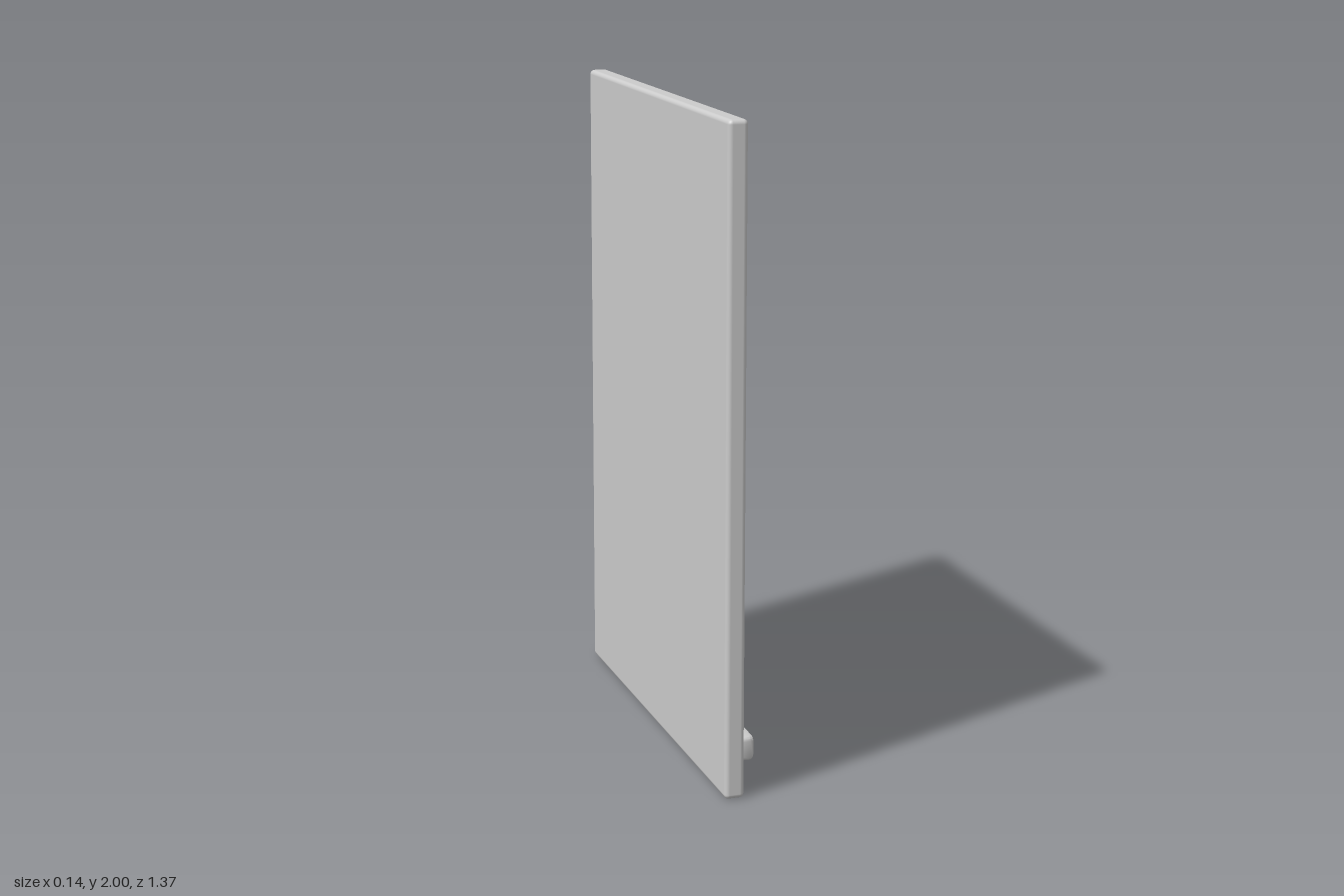
import * as THREE from 'three';
import { RoundedBoxGeometry } from 'three/addons/geometries/RoundedBoxGeometry.js';
import { toCreasedNormals } from 'three/addons/utils/BufferGeometryUtils.js';

const material = new THREE.MeshStandardMaterial({ color: 0xcccccc });
const HANDLE_Y = 0.098;

// Solid lofted along x through rounded rectangles: [x, half depth, half height, corner radius]
function loft(sections) {
  const corner = 4, count = corner * 4;
  const positions = [], index = [];
  for (const [x, hz, hy, r] of sections) {
    for (let q = 0; q < 4; q++) {
      const sz = q === 0 || q === 3 ? -1 : 1;
      const sy = q < 2 ? 1 : -1;
      for (let i = 0; i < corner; i++) {
        const a = (q + i / (corner - 1)) * Math.PI / 2;
        positions.push(x, sy * (hy - r) + r * Math.sin(a), sz * (hz - r) - r * Math.cos(a));
      }
    }
  }
  for (let s = 0; s < sections.length - 1; s++) {
    for (let k = 0; k < count; k++) {
      const a = s * count + k, b = s * count + (k + 1) % count;
      index.push(a, b, b + count, a, b + count, a + count);
    }
  }
  const last = (sections.length - 1) * count;
  for (let k = 1; k < count - 1; k++) {
    index.push(last, last + k, last + k + 1, 0, k + 1, k);
  }
  const geometry = new THREE.BufferGeometry();
  geometry.setAttribute('position', new THREE.Float32BufferAttribute(positions, 3));
  geometry.setIndex(index);
  return toCreasedNormals(geometry, 0.6);
}

function addPart(parent, name, geometry, x, y, z) {
  const mesh = new THREE.Mesh(geometry, material);
  mesh.name = name;
  mesh.position.set(x, y, z);
  parent.add(mesh);
}

export function createModel() {
  const model = new THREE.Group();
  model.name = 'cabinetDoor';

  // Flat door panel with softened edges
  addPart(model, 'panel', new RoundedBoxGeometry(0.06, 2, 1.37, 3, 0.014), -0.04, 1, 0);

  const handle = new THREE.Group();
  handle.name = 'handle';
  model.add(handle);

  // Grip bar, rounded over on its outer face
  addPart(handle, 'grip', loft([
    [0.002, 0.207, 0.035, 0.012],
    [0.03, 0.206, 0.037, 0.013],
    [0.054, 0.204, 0.039, 0.015],
    [0.063, 0.2, 0.037, 0.015],
    [0.068, 0.192, 0.031, 0.014],
    [0.07, 0.184, 0.025, 0.012],
  ]), 0, HANDLE_Y, 0.352);

  // Flared feet joining the grip to the panel
  const foot = loft([
    [-0.014, 0.05, 0.062, 0.014],
    [-0.009, 0.046, 0.056, 0.014],
    [-0.003, 0.034, 0.044, 0.013],
    [0.006, 0.022, 0.035, 0.012],
  ]);
  for (const [name, z] of [['rearFoot', 0.16], ['frontFoot', 0.54]]) {
    addPart(handle, name, foot, 0, HANDLE_Y, z);
  }
  return model;
}
